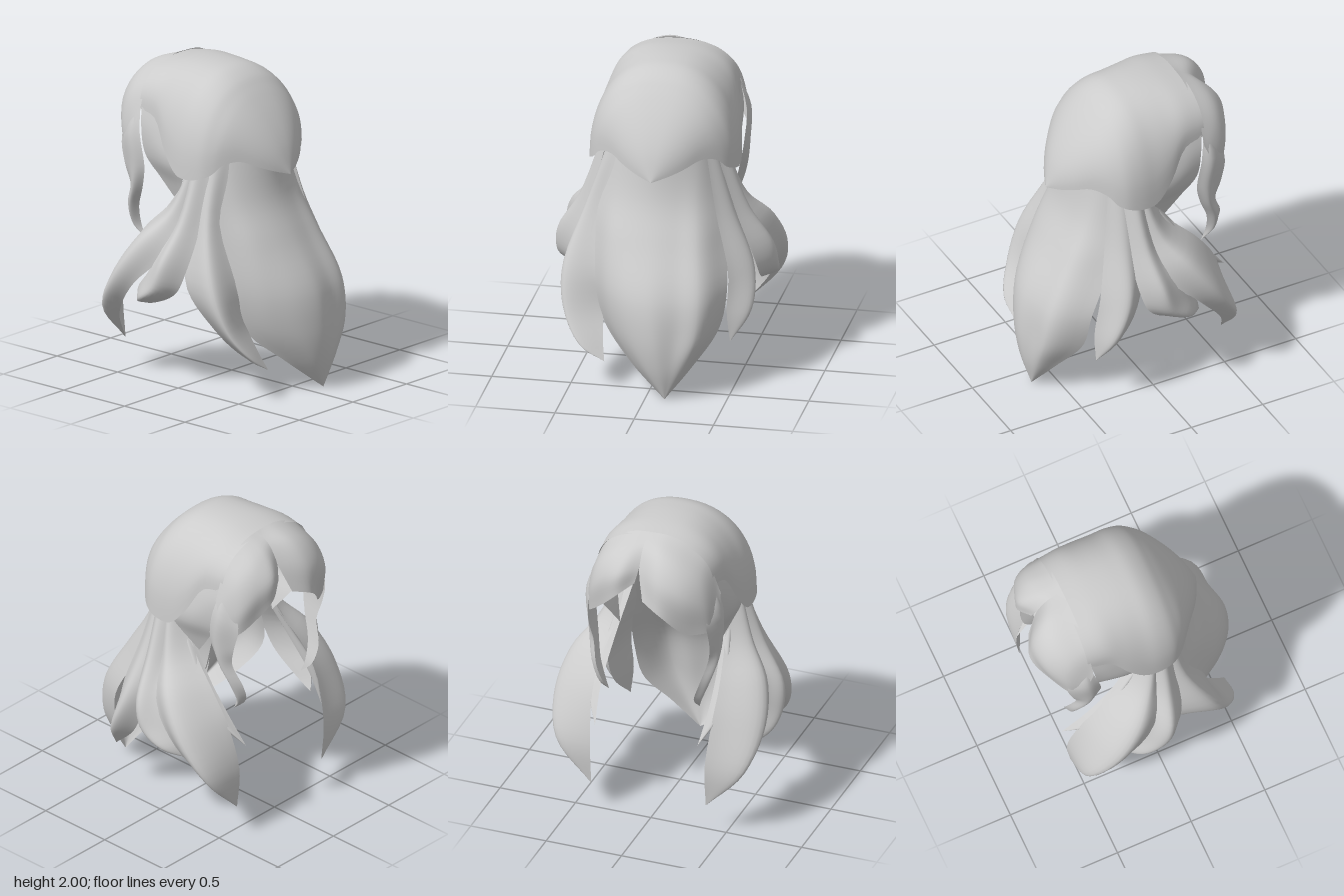
import * as THREE from 'three';
import { mergeGeometries } from 'three/addons/utils/BufferGeometryUtils.js';

const hairGrey = new THREE.MeshStandardMaterial({ color: 0xcccccc, side: THREE.DoubleSide });
hairGrey.name = 'hairGrey';

const vec = (p) => new THREE.Vector3(...p);

// Smooth surface through a sparse grid of points; a one-point row makes a tip.
function loft(rows, across = 16, along = 24) {
  const width = Math.max(...rows.map((r) => r.length));
  const grid = rows.map((r) => {
    if (r.length === 1) return Array.from({ length: across + 1 }, () => vec(r[0]));
    const curve = new THREE.CatmullRomCurve3(r.map(vec));
    return Array.from({ length: across + 1 }, (_, i) => curve.getPoint(i / across));
  });
  const steps = width === 2 ? 1 : across;
  const pos = [], idx = [];
  for (let i = 0; i <= steps; i++) {
    const column = new THREE.CatmullRomCurve3(grid.map((r) => r[(i * across) / steps]));
    for (let j = 0; j <= along; j++) pos.push(...column.getPoint(j / along).toArray());
  }
  const n = along + 1;
  for (let i = 0; i < steps; i++) {
    for (let j = 0; j < along; j++) {
      const a = i * n + j, b = a + n;
      idx.push(a, a + 1, b, b, a + 1, b + 1);
    }
  }
  const g = new THREE.BufferGeometry();
  g.setAttribute('position', new THREE.Float32BufferAttribute(pos, 3));
  g.setIndex(idx);
  g.computeVertexNormals();
  return g;
}

// Strand with a rounded outside and a flat inside.
const strand = (rows) => mergeGeometries([
  loft(rows),
  loft(rows.map((r) => (r.length === 1 ? r : [r[r.length - 1], r[0]]))),
]);

const mirror = (rows) => rows.map((r) => r.map(([x, y, z]) => [-x, y, z]));

// Row of points at one height, from [x, z] pairs
const level = (y, ...points) => points.map(([x, z]) => [x, y, z]);

export function createModel() {
  const model = new THREE.Group();
  model.name = 'hair';
  const add = (name, geometry) => {
    const mesh = new THREE.Mesh(geometry, hairGrey);
    mesh.name = name;
    model.add(mesh);
  };
  const addPair = (name, rows, build) => {
    add(name + 'Left', build(rows));
    add(name + 'Right', build(mirror(rows)));
  };

  // Cap: arches across x, each [z, half width, bottom, top]
  const arches = [
    [-0.42, 0.385, 1.7, 1.975], [-0.28, 0.405, 1.67, 1.995], [-0.16, 0.445, 1.48, 2],
    [-0.05, 0.465, 1.36, 1.995], [0.05, 0.47, 1.35, 1.98], [0.14, 0.455, 1.37, 1.935],
    [0.2, 0.42, 1.4, 1.88], [0.25, 0.37, 1.46, 1.825], [0.32, 0.285, 1.48, 1.735],
    [0.39, 0.195, 1.44, 1.625], [0.44, 0.11, 1.405, 1.52],
  ];
  const capRows = arches.map(([z, w, b, t]) => Array.from({ length: 17 }, (_, i) => {
    const a = (Math.PI * i) / 16, c = Math.cos(a), s = Math.max(0, Math.sin(a));
    return [w * Math.sign(c) * Math.abs(c) ** 0.87, b + (t - b) * s ** 0.87, z];
  }));
  capRows.push([[0, 1.37, 0.487]]);
  add('cap', loft(capRows, 32, 44));

  // Pointed flaps tucked behind the cap sides, in front of the face opening
  addPair('sideFlap', [
    [[0.37, 1.74, -0.26], [0.37, 1.77, -0.33], [0.37, 1.78, -0.41]],
    [[0.405, 1.58, -0.16], [0.415, 1.58, -0.28], [0.41, 1.6, -0.385]],
    [[0.42, 1.38, -0.03], [0.42, 1.4, -0.2], [0.4, 1.42, -0.36]],
    [[0.38, 1.27, -0.08], [0.37, 1.27, -0.17], [0.36, 1.28, -0.27]],
    [[0.33, 1.15, -0.17]],
  ], loft);

  // Fringe: two bulging halves that meet at an off-centre parting
  add('fringeRight', loft([
    [[0.05, 1.985, -0.4], [0.05, 1.93, -0.5], [0.05, 1.82, -0.57], [0, 1.63, -0.65]],
    [[-0.08, 1.985, -0.4], [-0.09, 1.92, -0.57], [-0.11, 1.78, -0.67], [-0.13, 1.58, -0.7]],
    [[-0.21, 1.945, -0.4], [-0.23, 1.86, -0.58], [-0.26, 1.7, -0.66], [-0.28, 1.43, -0.61]],
    [[-0.335, 1.85, -0.4], [-0.355, 1.76, -0.53], [-0.38, 1.62, -0.57], [-0.4, 1.43, -0.54]],
    [[-0.425, 1.65, -0.4], [-0.435, 1.58, -0.43], [-0.435, 1.5, -0.46], [-0.42, 1.4, -0.48]],
  ]));
  add('fringeLeft', loft([
    [[0.05, 1.985, -0.4], [0.05, 1.93, -0.5], [0.05, 1.82, -0.57], [0.07, 1.72, -0.6]],
    [[0.13, 1.975, -0.4], [0.14, 1.9, -0.54], [0.16, 1.78, -0.64], [0.17, 1.64, -0.65]],
    [[0.22, 1.94, -0.4], [0.25, 1.85, -0.55], [0.27, 1.72, -0.62], [0.28, 1.53, -0.61]],
    [[0.335, 1.85, -0.4], [0.355, 1.76, -0.52], [0.37, 1.62, -0.57], [0.38, 1.44, -0.55]],
    [[0.425, 1.65, -0.4], [0.435, 1.58, -0.43], [0.435, 1.5, -0.46], [0.42, 1.4, -0.48]],
  ]));

  // Curled locks beside the face
  addPair('faceLock', [
    [[0.36, 1.77, -0.43]],
    [[0.43, 1.56, -0.38], [0.445, 1.55, -0.45], [0.39, 1.5, -0.56]],
    [[0.42, 1.35, -0.35], [0.445, 1.34, -0.42], [0.4, 1.33, -0.53]],
    [[0.39, 1.2, -0.39], [0.43, 1.2, -0.44], [0.38, 1.2, -0.5]],
    [[0.35, 1.05, -0.455], [0.39, 1.05, -0.5], [0.34, 1.05, -0.555]],
    [[0.31, 0.92, -0.47], [0.34, 0.92, -0.51], [0.3, 0.93, -0.54]],
    [[0.3, 0.83, -0.44]],
  ], strand);

  // Long central fall: a main body and a second lobe along its left edge
  add('longHair', loft([
    level(1.55, [-0.33, 0.08], [-0.25, 0.2], [-0.12, 0.29], [0, 0.32], [0.12, 0.29], [0.25, 0.2], [0.33, 0.08]),
    level(1.2, [-0.37, 0.2], [-0.26, 0.3], [-0.13, 0.36], [0, 0.38], [0.14, 0.36], [0.27, 0.31], [0.4, 0.14]),
    level(0.95, [-0.39, 0.28], [-0.27, 0.42], [-0.14, 0.48], [0.01, 0.5], [0.16, 0.48], [0.3, 0.45], [0.43, 0.26]),
    level(0.65, [-0.37, 0.38], [-0.26, 0.53], [-0.12, 0.63], [0.03, 0.665], [0.19, 0.635], [0.34, 0.61], [0.465, 0.41]),
    level(0.41, [-0.32, 0.4], [-0.21, 0.56], [-0.08, 0.67], [0.06, 0.71], [0.19, 0.675], [0.32, 0.655], [0.42, 0.45]),
    level(0.2, [-0.12, 0.55], [-0.06, 0.62], [0.01, 0.68], [0.09, 0.7], [0.16, 0.685], [0.23, 0.66], [0.28, 0.57]),
    [[0.12, 0, 0.65]],
  ], 36, 32));

  // Broad clump on the right, split from the fall by a valley
  add('broadClump', loft([
    [[-0.22, 1.55, 0.22], [-0.3, 1.55, 0.16], [-0.34, 1.55, 0.04]],
    [[-0.36, 1.1, 0.24], [-0.46, 1.1, 0.2], [-0.43, 1.1, 0.05]],
    [[-0.37, 0.7, 0.37], [-0.58, 0.7, 0.36], [-0.55, 0.7, 0.11]],
    [[-0.32, 0.45, 0.4], [-0.55, 0.45, 0.46], [-0.49, 0.45, 0.27]],
    [[-0.3, 0.28, 0.49], [-0.43, 0.27, 0.55], [-0.41, 0.29, 0.42]],
    [[-0.28, 0.18, 0.55]],
  ]));

  // Narrow clump on the left of the fall
  add('narrowClump', strand([
    [[0.28, 1.55, 0.19], [0.32, 1.55, 0.14], [0.34, 1.55, 0.04]],
    [[0.37, 1.1, 0.27], [0.46, 1.1, 0.17], [0.43, 1.1, 0.05]],
    [[0.46, 0.75, 0.35], [0.6, 0.75, 0.22], [0.52, 0.75, 0.1]],
    [[0.46, 0.5, 0.39], [0.6, 0.5, 0.32], [0.52, 0.5, 0.2]],
    [[0.48, 0.31, 0.39]],
  ]));

  // Side strands: short middle one
  addPair('middleStrand', [
    [[0.33, 1.55, 0.14], [0.37, 1.55, 0.08], [0.34, 1.55, 0]],
    [[0.45, 1.1, 0.15], [0.53, 1.1, 0.06], [0.46, 1.1, -0.03]],
    [[0.57, 0.8, 0.13], [0.68, 0.84, 0.02], [0.6, 0.89, -0.06]],
    [[0.6, 0.65, 0.07], [0.7, 0.68, -0.04], [0.62, 0.74, -0.15]],
    [[0.58, 0.545, -0.13], [0.67, 0.58, -0.17], [0.58, 0.62, -0.26]],
    [[0.54, 0.51, -0.3]],
  ], strand);

  // Side strands: long one sweeping toward the face
  addPair('sweptStrand', [
    [[0.33, 1.5, 0.1], [0.38, 1.48, 0.03], [0.33, 1.46, -0.03]],
    [[0.46, 1.12, 0.03], [0.5, 1.13, -0.06], [0.36, 1.16, -0.16]],
    [[0.59, 0.87, -0.04], [0.64, 0.94, -0.2], [0.4, 0.95, -0.36]],
    [[0.65, 0.66, -0.24], [0.69, 0.7, -0.37], [0.4, 0.77, -0.48]],
    [[0.55, 0.41, -0.44], [0.62, 0.45, -0.52], [0.38, 0.47, -0.56]],
    [[0.38, 0.19, -0.54]],
  ], strand);

  // Side strands: thin inner one
  addPair('innerStrand', [
    [[0.33, 1.35, 0.02], [0.35, 1.35, -0.02], [0.3, 1.35, -0.04]],
    [[0.4, 1, -0.2], [0.41, 1.02, -0.25], [0.35, 1.03, -0.26]],
    [[0.42, 0.77, -0.4], [0.43, 0.8, -0.44], [0.36, 0.82, -0.44]],
    [[0.34, 0.63, -0.58]],
  ], strand);

  return model;
}
